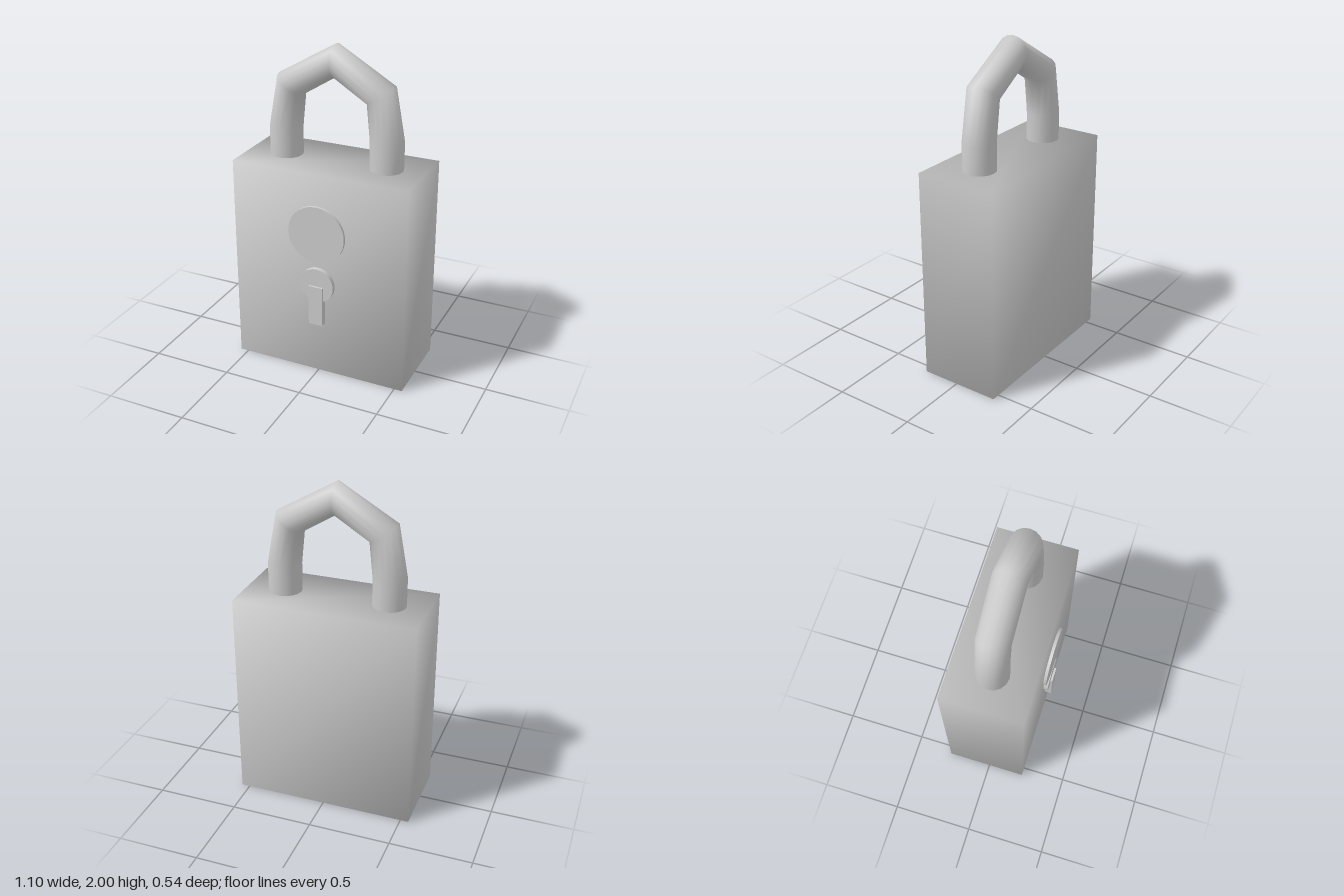
import * as THREE from 'three';
import { mergeVertices } from 'three/addons/utils/BufferGeometryUtils.js';

const material = new THREE.MeshStandardMaterial({ color: 0xcccccc });

function add(group, name, geometry, x = 0, y = 0, z = 0) {
  const mesh = new THREE.Mesh(geometry, material);
  mesh.name = name;
  mesh.position.set(x, y, z);
  group.add(mesh);
}

// Box with shared corners, so its shading runs softly over the edges
function softBox(w, h, d) {
  const box = new THREE.BoxGeometry(w, h, d);
  box.deleteAttribute('normal');
  box.deleteAttribute('uv');
  const soft = mergeVertices(box);
  soft.computeVertexNormals();
  return soft;
}

// Upright disc facing the front, between two depths
function disc(radius, back, front) {
  const geometry = new THREE.CylinderGeometry(radius, radius, front - back, 48);
  geometry.rotateX(Math.PI / 2);
  geometry.translate(0, 0, (front + back) / 2);
  return geometry;
}

// Angular bow: mitred round rings spanning each outer/inner pair of corners
function shackleGeometry(radius, sides) {
  const half = [
    [0.42, 1.25, 0.22, 1.25],
    [0.42, 1.47, 0.22, 1.47],
    [0.36, 1.79, 0.2, 1.68],
  ];
  const mirrored = half.map(([ox, oy, ix, iy]) => [-ox, oy, -ix, iy]).reverse();
  const rings = [...half, [0, 2, 0, 1.805], ...mirrored];
  const positions = [];
  const index = [];
  rings.forEach(([ox, oy, ix, iy], r) => {
    for (let s = 0; s < sides; s++) {
      const a = (s / sides) * Math.PI * 2;
      const c = Math.cos(a) / 2;
      positions.push((ox + ix) / 2 + (ox - ix) * c, (oy + iy) / 2 + (oy - iy) * c, Math.sin(a) * radius);
      if (r === rings.length - 1) continue;
      const p = r * sides + s;
      const q = r * sides + ((s + 1) % sides);
      index.push(p, p + sides, q, q, p + sides, q + sides);
    }
  });
  const geometry = new THREE.BufferGeometry();
  geometry.setAttribute('position', new THREE.Float32BufferAttribute(positions, 3));
  geometry.setIndex(index);
  geometry.computeVertexNormals();
  return geometry;
}

export function createModel() {
  const group = new THREE.Group();
  group.name = 'padlock';

  add(group, 'body', softBox(1.1, 1.3, 0.5), 0, 0.65, -0.021);
  add(group, 'shackle', shackleGeometry(0.098, 16), 0, 0, -0.021);

  // Front plate stands slightly clear of the body
  add(group, 'frontPlate', disc(0.178, 0.239, 0.257), 0, 0.935);

  // Keyhole: round boss with a narrow slot bar below
  add(group, 'keyholeBoss', disc(0.108, 0.22, 0.257), 0, 0.605);
  add(group, 'keyholeSlot', new THREE.BoxGeometry(0.09, 0.255, 0.05), 0, 0.472, 0.245);

  return group;
}
